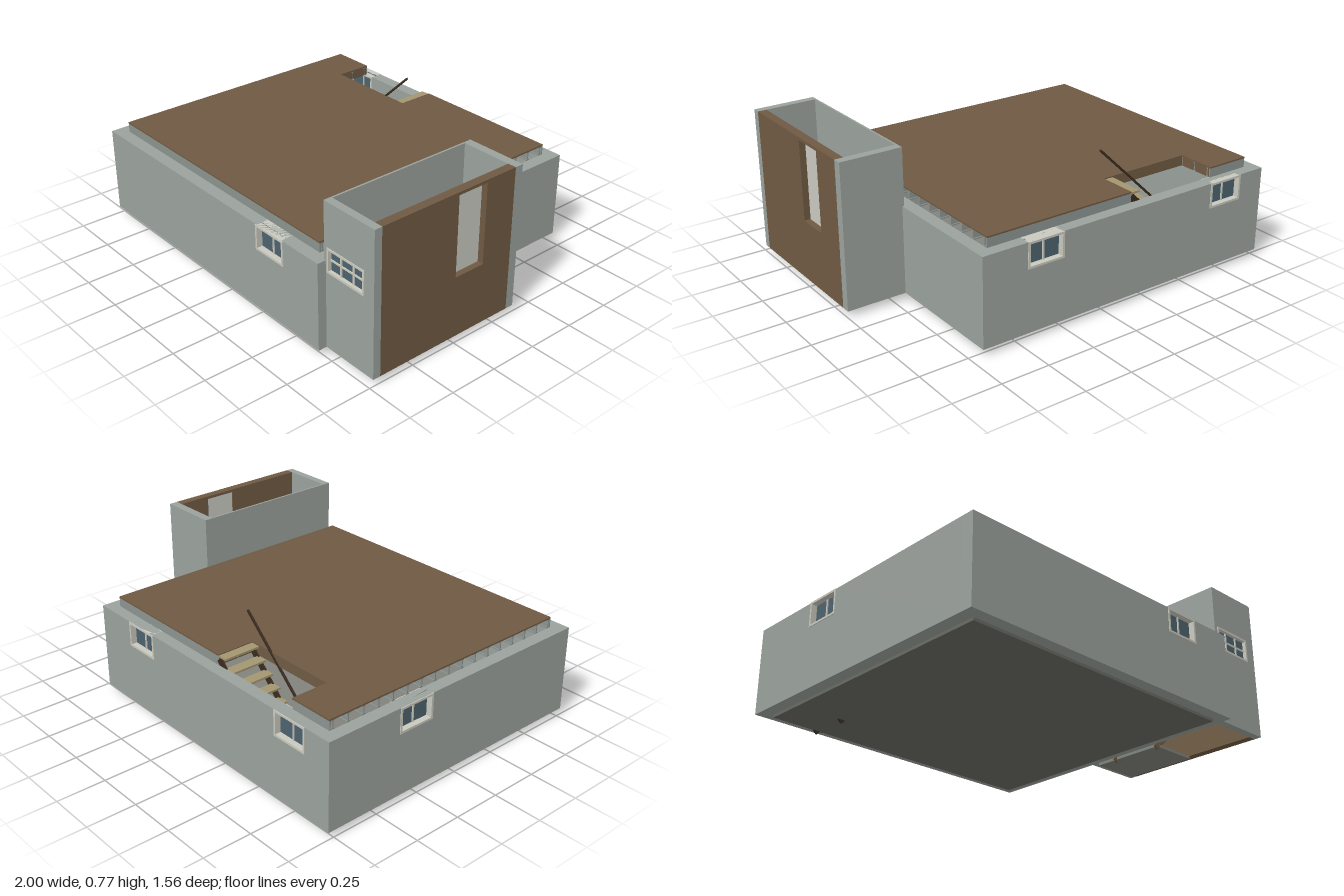
import * as THREE from 'three';

const mat = (color, extra = {}) => new THREE.MeshStandardMaterial({ color, ...extra });
const wallMat = mat(0x9aa19c), woodMat = mat(0x6f5a42), treadMat = mat(0xa3956f), darkWood = mat(0x3a2c20);
const floorMat = mat(0x80827b), slabMat = mat(0x696a63), frameMat = mat(0xc9c8bd), glassMat = mat(0x4d626d);
const joistMat = mat(0x8b938f);

export function createModel() {
  const root = new THREE.Group();

  // Box given by its two opposite corners
  function box(name, [x0, x1], [y0, y1], [z0, z1], m, parent = root) {
    const mesh = new THREE.Mesh(new THREE.BoxGeometry(x1 - x0, y1 - y0, z1 - z0), m);
    mesh.position.set((x0 + x1) / 2, (y0 + y1) / 2, (z0 + z1) / 2);
    mesh.name = name;
    parent.add(mesh);
    return mesh;
  }

  // Upright panel in the xy plane with rectangular holes [x0, x1, y0, y1], extruded towards +z
  function panel(name, x0, x1, y0, y1, depth, holes, m) {
    const rect = (C, a, b, c, d) => {
      const s = new C();
      s.moveTo(a, c); s.lineTo(b, c); s.lineTo(b, d); s.lineTo(a, d); s.closePath();
      return s;
    };
    const shape = rect(THREE.Shape, x0, x1, y0, y1);
    holes.forEach(h => shape.holes.push(rect(THREE.Path, ...h)));
    const mesh = new THREE.Mesh(new THREE.ExtrudeGeometry(shape, { depth, bevelEnabled: false }), m);
    mesh.name = name;
    root.add(mesh);
    return mesh;
  }

  // Framed window centred on its own origin, glazed in cols x rows
  function windowUnit(x, y, z, w, h, cols, rows, depth, turn = 0) {
    const g = new THREE.Group();
    g.name = 'window';
    const b = 0.011, d = depth / 2 + 0.004;
    box('glass', [-w / 2, w / 2], [-h / 2, h / 2], [-0.006, 0.006], glassMat, g);
    for (const s of [-1, 1]) {
      const cx = s * (w / 2 - b / 2), cy = s * (h / 2 - b / 2);
      box('frameSide', [cx - b / 2, cx + b / 2], [-h / 2, h / 2], [-d, d], frameMat, g);
      box('frameRail', [-w / 2 + b, w / 2 - b], [cy - b / 2, cy + b / 2], [-d, d], frameMat, g);
    }
    for (let i = 1; i < cols; i++) {
      const cx = -w / 2 + w * i / cols;
      box('mullion', [cx - 0.004, cx + 0.004], [-h / 2, h / 2], [-0.012, 0.012], frameMat, g);
    }
    for (let i = 1; i < rows; i++) {
      const cy = -h / 2 + h * i / rows;
      box('glazingBar', [-w / 2, w / 2], [cy - 0.004, cy + 0.004], [-0.012, 0.012], frameMat, g);
    }
    g.position.set(x, y, z);
    g.rotation.y = turn;
    root.add(g);
  }

  // Main walls
  const Y0 = 0.035, Y1 = 0.485, T = 0.065;
  const winHole = c => [c - 0.095, c + 0.095, 0.36, 0.48];
  panel('frontWall', -1, 0.69, Y0, Y1, T, [winHole(0.35)], wallMat).position.z = 0.71;
  panel('backWall', -1, 0.69, Y0, Y1, T, [winHole(0.35), winHole(-0.75)], wallMat).position.z = -0.78;
  const sideWall = panel('rightWall', -0.71, 0.715, Y0, Y1, T, [winHole(0.27)], wallMat);
  sideWall.rotation.y = Math.PI / 2;
  sideWall.position.x = -1;
  box('leftWall', [0.625, 0.69], [Y0, Y1], [-0.715, 0.71], wallMat);
  windowUnit(0.35, 0.42, 0.7425, 0.2, 0.13, 2, 1, T);
  for (const x of [0.35, -0.75]) windowUnit(x, 0.42, -0.7475, 0.2, 0.13, 2, 1, T);
  windowUnit(-0.9675, 0.42, -0.27, 0.2, 0.13, 2, 1, T, Math.PI / 2);

  // Ground slab and floor finish
  box('groundSlab', [-0.935, 0.625], [0.02, 0.035], [-0.72, 0.715], slabMat);
  box('floorFinish', [-0.935, 0.625], [0.035, 0.04], [-0.715, 0.71], floorMat);

  // Upper deck, notched for the stairwell
  const wellX0 = -0.7, wellX1 = -0.19, wellZ = -0.525;
  const deckShape = new THREE.Shape([
    [-0.935, -0.71], [0.625, -0.71], [0.625, 0.72], [wellX1, 0.72],
    [wellX1, -wellZ], [wellX0, -wellZ], [wellX0, 0.72], [-0.935, 0.72],
  ].map(p => new THREE.Vector2(...p)));
  const deck = new THREE.Mesh(
    new THREE.ExtrudeGeometry(deckShape, { depth: 0.008, bevelEnabled: false }), woodMat);
  deck.name = 'upperDeck';
  deck.rotation.x = -Math.PI / 2;
  deck.position.y = 0.531;
  root.add(deck);

  // I-shaped joists, interrupted by the stairwell
  const JY0 = 0.485, JY1 = 0.531;
  function joist(x0, x1, z) {
    box('joistWeb', [x0, x1], [JY0, JY1], [z - 0.003, z + 0.003], joistMat);
    for (const y of [JY0, JY1 - 0.006])
      box('joistFlange', [x0, x1], [y, y + 0.006], [z - 0.009, z + 0.009], joistMat);
  }
  for (let i = 0; i < 17; i++) {
    const z = -0.7 + i * 0.0872;
    if (z < wellZ) {
      joist(-0.935, wellX0, z);
      joist(wellX1, 0.625, z);
    } else joist(-0.935, 0.625, z);
  }
  box('frontRim', [-0.935, 0.625], [JY0, JY1], [0.703, 0.71], joistMat);
  box('backRim', [wellX1, 0.625], [JY0, JY1], [-0.72, -0.713], joistMat);
  box('backRim', [-0.935, wellX0], [JY0, JY1], [-0.72, -0.713], joistMat);
  box('blocking', [-0.16, -0.15], [JY0, JY1], [-0.71, 0.7], woodMat);
  for (const x of [wellX0 - 0.008, wellX1])
    box('wellHeader', [x, x + 0.008], [JY0, JY1], [-0.72, wellZ], woodMat);
  box('wellTrimmer', [wellX0, wellX1], [JY0, JY1], [wellZ, wellZ + 0.008], woodMat);

  // Sloping bar between two points in the xy plane
  function bar(name, x0, y0, x1, y1, z, h, w, m) {
    const mesh = new THREE.Mesh(new THREE.BoxGeometry(Math.hypot(x1 - x0, y1 - y0), h, w), m);
    mesh.position.set((x0 + x1) / 2, (y0 + y1) / 2, z);
    mesh.rotation.z = Math.atan2(y1 - y0, x1 - x0);
    mesh.name = name;
    root.add(mesh);
  }

  // Open stair rising towards +x
  function stair(x0, x1, y0, y1, z0, z1, n, m, stringerMat) {
    const dx = (x1 - x0) / n, dy = (y1 - y0) / n;
    for (let i = 0; i < n; i++)
      box('tread', [x0 + i * dx, x0 + (i + 1) * dx + 0.006],
        [y0 + (i + 1) * dy - 0.01, y0 + (i + 1) * dy], [z0, z1], m);
    for (const z of [z0 + 0.004, z1 - 0.004])
      bar('stringer', x0 + 0.02, y0, x1, y1 - 0.02, z, 0.035, 0.008, stringerMat);
  }
  stair(-0.69, -0.19, 0.03, 0.535, -0.72, -0.528, 10, treadMat, darkWood);
  bar('handrail', -0.66, 0.22, -0.16, 0.69, -0.525, 0.01, 0.01, darkWood);

  // Entrance tower walls
  const TY = 0.775;
  panel('towerFrontWall', 0.69, 1, Y0, TY, 0.04, [[0.705, 0.935, 0.435, 0.55]], wallMat).position.z = 0.69;
  windowUnit(0.82, 0.4925, 0.71, 0.24, 0.125, 3, 2, 0.04);
  box('towerBackWall', [0.69, 1], [Y0, TY], [-0.135, -0.09], wallMat);
  box('towerInnerWall', [0.68, 0.69], [Y1, TY], [-0.135, 0.73], wallMat);
  const brown = panel('towerTimberWall', -0.69, 0.09, Y0, TY, 0.045, [[-0.255, -0.085, 0.35, 0.76]], woodMat);
  brown.rotation.y = Math.PI / 2;
  brown.position.x = 0.955;
  box('towerLight', [0.962, 0.968], [0.35, 0.76], [0.085, 0.255], mat(0xc9c9c1));

  // Tower floors and stair
  box('towerSlab', [0.69, 0.955], [0.02, 0.035], [-0.09, 0.31], floorMat);
  box('towerLanding', [0.69, 0.955], [0.205, 0.22], [0.31, 0.69], floorMat);
  stair(0.69, 0.955, 0.03, 0.29, 0.035, 0.295, 6, woodMat, woodMat);
  bar('towerHandrail', 0.78, 0.24, 0.95, 0.4, 0.305, 0.01, 0.01, darkWood);

  // Stringer feet showing below the slabs
  for (const [x, zs, m] of [[-0.685, [-0.515, -0.718], darkWood], [0.69, [0.31, 0.035], woodMat]])
    for (const z of zs) {
      const foot = new THREE.Mesh(new THREE.BoxGeometry(0.03, 0.03, 0.008), m);
      foot.name = 'stringerFoot';
      foot.rotation.z = Math.PI / 4;
      foot.position.set(x, 0.0213, z);
      root.add(foot);
    }
  return root;
}
